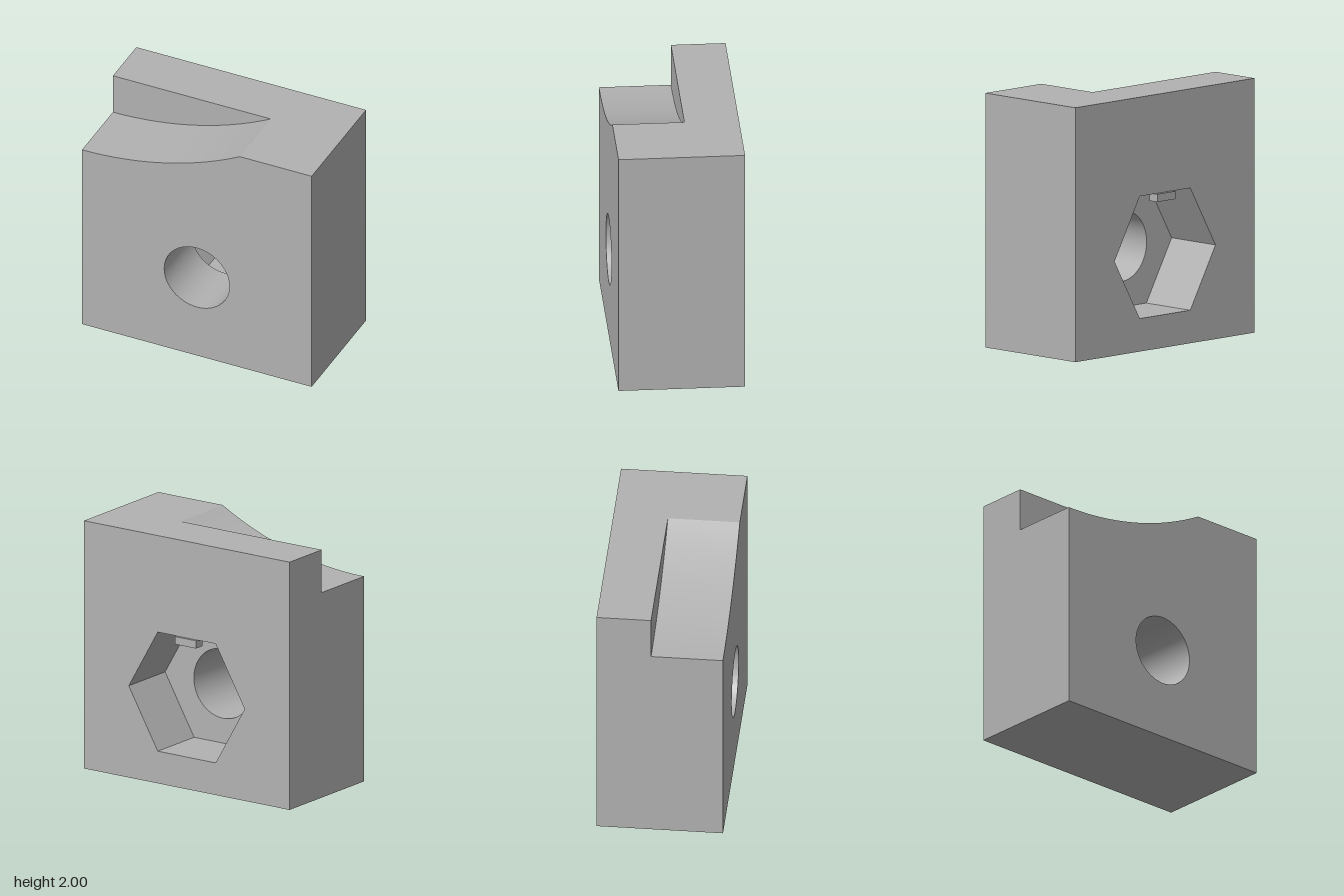
import * as THREE from 'three';
import { mergeGeometries, toCreasedNormals } from 'three/addons/utils/BufferGeometryUtils.js';

const W = 0.985, H = 2;                       // half width, height
const BACK = -0.485, STEP = -0.06, FLOOR = -0.005, FRONT = 0.5;
const HOLE_Y = 0.74, HOLE_R = 0.28, NUT_R = 0.555;
const CUT_Y = 1.655, CUT_X = 0.37;            // where the curved cut starts and ends

const v = (x, y) => new THREE.Vector2(x, y);

// Points on an arc, counter-clockwise from angle a to b
function arc(cx, cy, r, a, b, n) {
  return Array.from({ length: n + 1 }, (_, i) => {
    const t = a + (b - a) * i / n;
    return v(cx + r * Math.cos(t), cy + r * Math.sin(t));
  });
}
const ring = (r, n) => arc(0, HOLE_Y, r, 0, Math.PI * 2, n).slice(0, n);

// Flat face at depth z, optionally with a hole and facing backward
function face(points, z, hole, backward) {
  const shape = new THREE.Shape(points);
  if (hole) shape.holes.push(new THREE.Path(hole));
  const g = new THREE.ShapeGeometry(shape);
  if (backward) g.rotateY(Math.PI);           // backward outlines are symmetric in x
  g.translate(0, 0, z);
  g.deleteAttribute('uv');
  return g.toNonIndexed();
}

// Wall swept along z; counter-clockwise outlines face outward
function wall(points, z0, z1) {
  const pos = [];
  points.forEach((p, i) => {
    const q = points[(i + 1) % points.length];
    pos.push(p.x, p.y, z0, q.x, q.y, z0, q.x, q.y, z1);
    pos.push(p.x, p.y, z0, q.x, q.y, z1, p.x, p.y, z1);
  });
  const g = new THREE.BufferGeometry();
  g.setAttribute('position', new THREE.Float32BufferAttribute(pos, 3));
  g.computeVertexNormals();
  return g;
}

export function createModel() {
  const model = new THREE.Group();
  model.name = 'clampBlock';
  const grey = new THREE.MeshStandardMaterial({ color: 0xb2b2b2 });
  grey.name = 'grey';

  const add = (name, ...parts) => {
    const mesh = new THREE.Mesh(toCreasedNormals(mergeGeometries(parts), 0.3), grey);
    mesh.name = name;
    model.add(mesh);
  };

  // Outlines
  const dx = CUT_X + W, dy = H - CUT_Y;
  const cutR = (dx * dx + dy * dy) / (2 * dy);
  const cut = arc(-W, CUT_Y + cutR, cutR, -Math.PI / 2, -Math.PI / 2 + Math.asin(dx / cutR), 40);
  const full = [v(-W, 0), v(W, 0), v(W, H), v(-W, H)];
  const cutProfile = [v(-W, 0), v(W, 0), v(W, H), ...[...cut].reverse()];
  const circle = ring(HOLE_R, 64);
  const hexagon = ring(NUT_R, 6);

  // Front half with the scooped top, and the full-height rear half
  add('frontBody', face(cutProfile, FRONT, circle), wall(cutProfile, STEP, FRONT));
  add('rearBody', face(full, BACK, hexagon, true), wall(full, BACK, STEP));
  add('stepWall', face([...cut, v(-W, H)], STEP));

  // Bolt hole opening into the hexagonal nut pocket
  add('boltHole', wall([...circle].reverse(), FLOOR, FRONT));
  add('nutPocket', wall([...hexagon].reverse(), BACK, FLOOR), face(hexagon, FLOOR, circle, true));

  // Small retaining tab at the top of the pocket
  const tab = new THREE.Mesh(new THREE.BoxGeometry(0.2, 0.062, 0.085), grey);
  tab.name = 'retainingTab';
  tab.position.set(0, 1.187, -0.4575);
  model.add(tab);

  return model;
}
